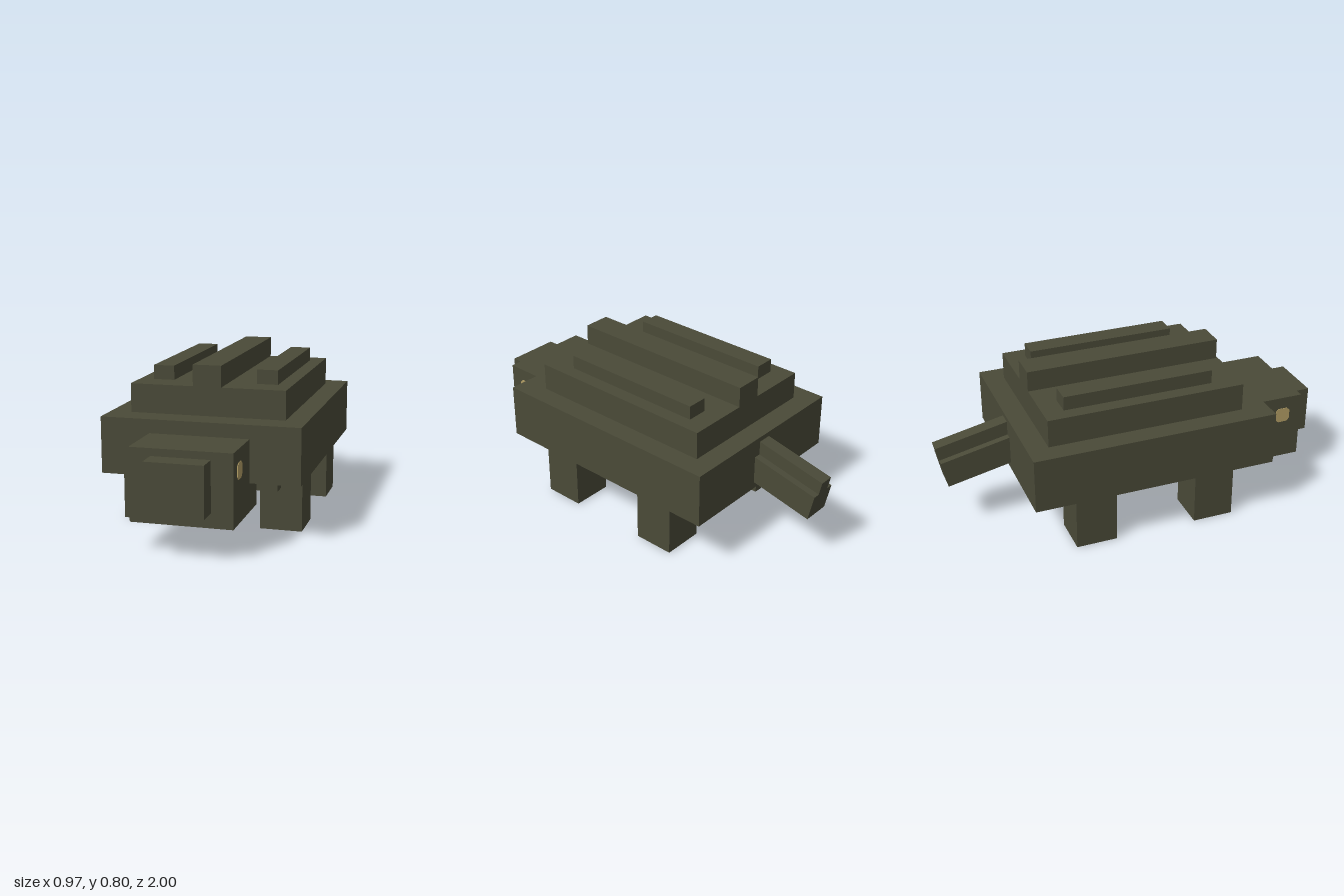
import * as THREE from 'three';

export function createModel() {
  const model = new THREE.Group();
  model.name = 'turtle';

  const hide = new THREE.MeshStandardMaterial({ color: 0x4a4a38 });
  hide.name = 'dark olive';
  const gold = new THREE.MeshStandardMaterial({ color: 0xb5a066 });
  gold.name = 'pale gold';

  // Box given by its extents on each axis
  function box(name, [x0, x1], [y0, y1], [z0, z1], parent = model) {
    const mesh = new THREE.Mesh(new THREE.BoxGeometry(x1 - x0, y1 - y0, z1 - z0), hide);
    mesh.position.set((x0 + x1) / 2, (y0 + y1) / 2, (z0 + z1) / 2);
    mesh.name = name;
    parent.add(mesh);
    return mesh;
  }

  // Body and shell
  box('belly', [-0.347, 0.347], [0.21, 0.28], [-0.493, 0.48]);
  box('body', [-0.486, 0.486], [0.28, 0.556], [-0.635, 0.615]);
  box('upperShell', [-0.382, 0.382], [0.556, 0.697], [-0.53, 0.478]);
  box('centreRidge', [-0.07, 0.07], [0.697, 0.801], [-0.53, 0.478]);

  // Head
  box('head', [-0.243, 0.243], [0.14, 0.489], [0.48, 0.896]);
  box('snout', [-0.14, 0.14], [0.21, 0.453], [0.896, 1]);

  // Eye outline: a square with cut corners
  const h = 0.039, c = 0.024;
  const eyeShape = new THREE.Shape(
    [[h, -c], [h, c], [c, h], [-c, h], [-h, c], [-h, -c], [-c, -h], [c, -h]]
      .map(([x, y]) => new THREE.Vector2(x, y)));
  const eyeGeometry = new THREE.ExtrudeGeometry(eyeShape, { depth: 0.004, bevelEnabled: false });

  // Mirrored parts
  for (const side of [-1, 1]) {
    const label = side > 0 ? 'left' : 'right';
    const span = (a, b) => (side > 0 ? [a, b] : [-b, -a]);
    box(label + 'Ridge', span(0.208, 0.312), [0.697, 0.767], [-0.428, 0.338]);
    box(label + 'FrontLeg', span(0.244, 0.452), [0, 0.28], [0.204, 0.412]);
    box(label + 'BackLeg', span(0.244, 0.452), [0, 0.28], [-0.424, -0.216]);

    const eye = new THREE.Mesh(eyeGeometry, gold);
    eye.name = label + 'Eye';
    eye.position.set(side * 0.242, 0.388, 0.793);
    eye.rotation.y = side * Math.PI / 2;
    model.add(eye);
  }

  // Drooping tail, measured forward from its tip
  const tail = new THREE.Group();
  tail.name = 'tail';
  tail.position.set(0, 0.385, -0.985);
  tail.rotation.x = THREE.MathUtils.degToRad(-12);
  box('tailBase', [-0.07, 0.07], [-0.14, 0], [0, 0.42], tail);
  box('tailRidge', [-0.035, 0.035], [0, 0.07], [0, 0.42], tail);
  model.add(tail);

  return model;
}
